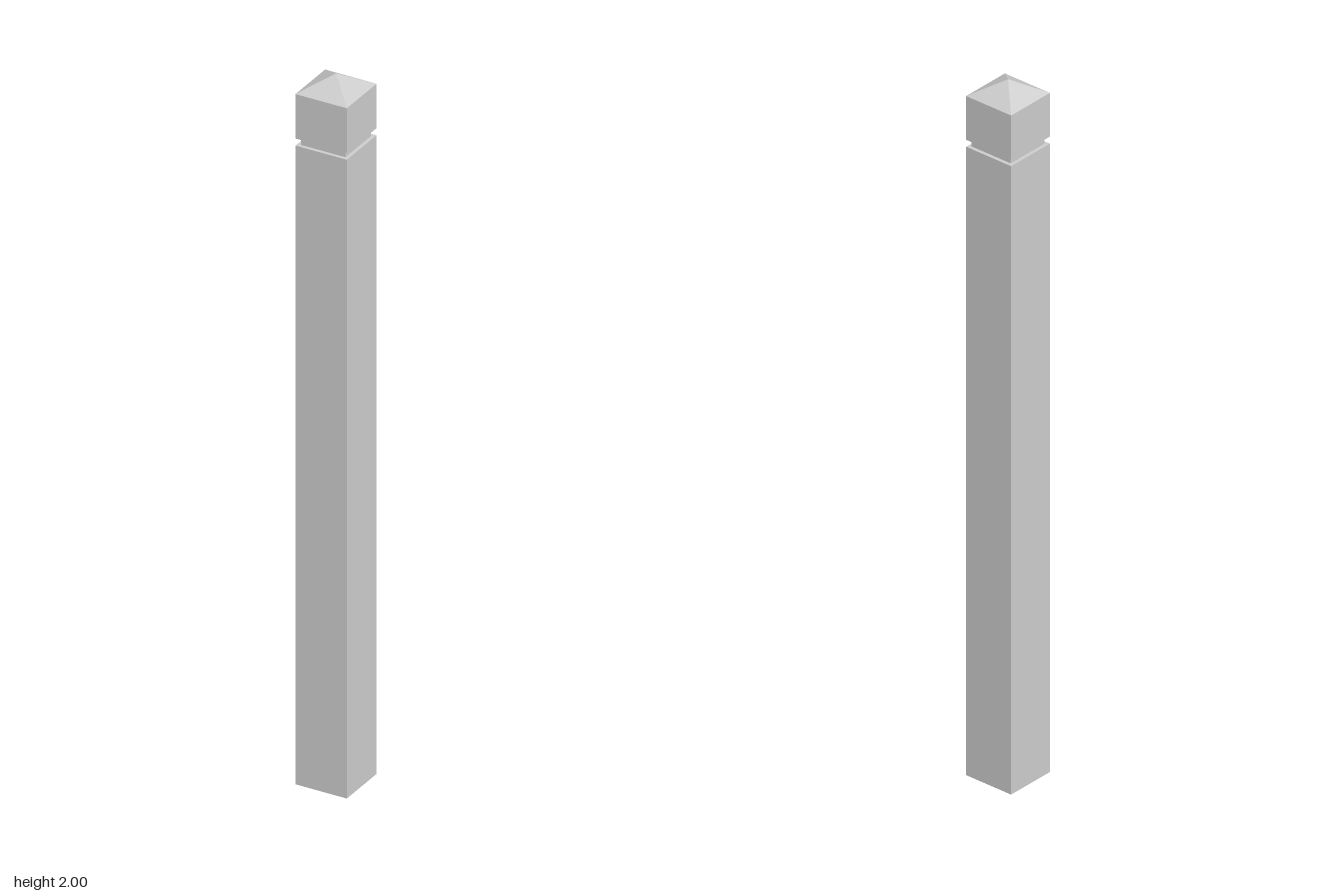
import * as THREE from 'three';

const HALF = 0.074;      // half width of shaft and head
const NECK = 0.064;      // half width of the groove
const SHAFT_TOP = 1.81;
const HEAD_BOTTOM = 1.83;
const EAVES = 1.956;

// Square section swept up a profile of [half width, height] pairs, bottom to top
function squareTurned(name, profile, material) {
  const points = profile.map(([half, y]) => new THREE.Vector2(half * Math.SQRT2, y));
  const mesh = new THREE.Mesh(new THREE.LatheGeometry(points, 4, Math.PI / 4), material);
  mesh.name = name;
  return mesh;
}

export function createModel() {
  const group = new THREE.Group();
  group.name = 'post';
  const material = new THREE.MeshStandardMaterial({ color: 0xcccccc, flatShading: true });

  group.add(
    // Closed underside, straight sides, ledge in to the groove
    squareTurned('shaft', [[0, 0], [HALF, 0], [HALF, SHAFT_TOP], [NECK, SHAFT_TOP]], material),
    // Recessed groove
    squareTurned('neck', [[NECK, SHAFT_TOP], [NECK, HEAD_BOTTOM]], material),
    // Block with a pyramid top
    squareTurned('head', [[NECK, HEAD_BOTTOM], [HALF, HEAD_BOTTOM], [HALF, EAVES], [0, 2]], material),
  );
  return group;
}
